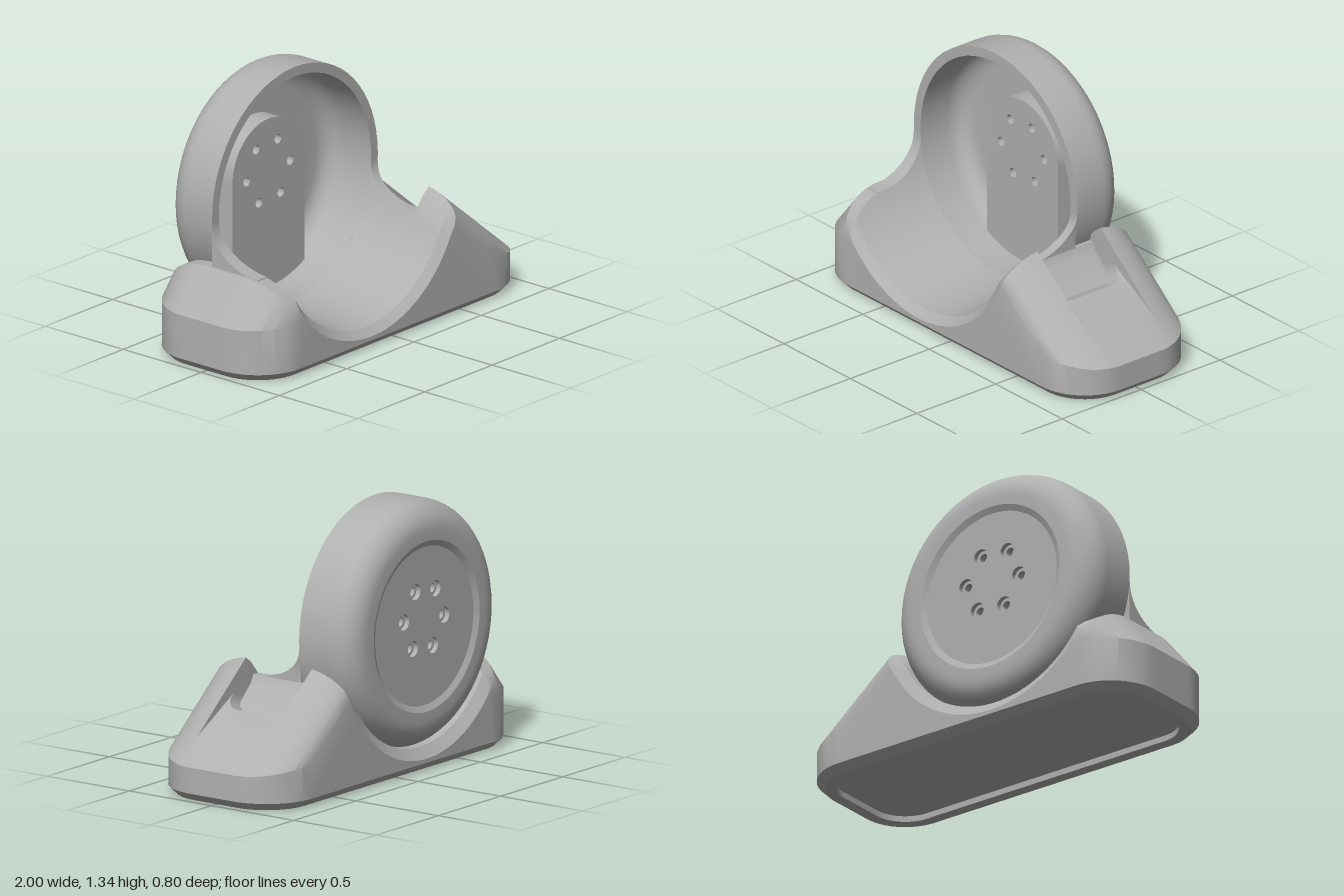
import * as THREE from 'three';
import { toCreasedNormals } from 'three/addons/utils/BufferGeometryUtils.js';

const CX = -0.2, CY = 0.72; // axis of the round cup
const RIM = -0.09; // depth of the cup's front edge
const grey = new THREE.MeshStandardMaterial({ color: 0xb0b0b0, side: THREE.DoubleSide });
grey.name = 'grey plastic';

// Height of a quarter-round of radius r at offset q, zero beyond its end.
const arcHeight = (r, q) => Math.sqrt(Math.max(0, r * r - q * q));

// Skin between matching cross-sections, with optional flat end caps.
function loft(sections, capped) {
  const n = sections[0].length, last = (sections.length - 1) * n, idx = [];
  for (let i = 0; i < sections.length - 1; i++) {
    for (let j = 0; j < n - 1; j++) {
      const a = i * n + j, d = a + n;
      idx.push(a, a + 1, d + 1, a, d + 1, d);
    }
  }
  if (capped) {
    const cap = (s) => THREE.ShapeUtils.triangulateShape(s.map((p) => new THREE.Vector2(p[0], p[1])), []);
    cap(sections[0]).forEach(([a, b, c]) => idx.push(a, c, b));
    cap(sections[sections.length - 1]).forEach(([a, b, c]) => idx.push(last + a, last + b, last + c));
  }
  const g = new THREE.BufferGeometry();
  g.setAttribute('position', new THREE.Float32BufferAttribute(sections.flat(2), 3));
  g.setIndex(idx);
  return toCreasedNormals(g, 0.5);
}

// Radius of the hollow along z.
function hollow(z) {
  const k = [[-0.4, 0.66], [-0.36, 0.605], [-0.11, 0.59], [RIM, 0.565], [0.36, 0.62], [0.4, 0.66]];
  let i = 0;
  while (i < k.length - 2 && z > k[i + 1][0]) i++;
  return THREE.MathUtils.mapLinear(z, k[i][0], k[i + 1][0], k[i][1], k[i + 1][1]);
}

// Where a sloping line through (px, py) meets a circle about the cup axis.
function meet(px, py, m, r, sign) {
  const X = px - CX, Y = py - CY, a = 1 + m * m, b = X + m * Y, c = X * X + Y * Y - r * r;
  const t = (-b + sign * Math.sqrt(Math.max(0, b * b - a * c))) / a;
  return [px + t, py + m * t];
}

// Front outline of the base at depth z, from lower right over the top to lower left.
function baseSection(z, notch) {
  const az = Math.abs(z), R = hollow(z);
  const d = 0.27 - arcHeight(0.27, Math.max(0, az - 0.13)), xw = 1 - d;
  const sR = 0.78 * d, sL = 0.95 * d;
  const slopeR = (x) => 0.61 - 0.815 * (x - 0.46 + sR);
  const tip = meet(0.46 - sR, 0.61, -0.815, 0.668, 1);
  const tipL = meet(-0.83 + sL, 0.47, 1.21, 0.675, -1);
  const polar = (r, a) => [CX + r * Math.cos(a), CY + r * Math.sin(a)];
  const pts = [[xw, 0.04], [xw, slopeR(xw)]];
  let start;
  if (notch) { // channel and pocket in the right lug
    const e = 0.08 - arcHeight(0.08, Math.max(0, az - 0.12));
    pts.push([0.85, slopeR(0.85)], [0.64 - e, 0.39 + 0.7 * e], [0.56 - e, 0.36 + 0.7 * e], [0.42, 0.47], [0.4, 0.51]);
    start = Math.asin(-0.21 / R);
  } else {
    for (const f of [0.278, 0.667, 0.833, 1]) {
      const x = xw + (tip[0] - xw) * f;
      pts.push([x, slopeR(x)]);
    }
    const a = Math.atan2(tip[1] - CY, tip[0] - CX);
    pts.push(polar((0.668 + R) / 2, a - 0.06));
    start = a - 0.18;
  }
  const end = -Math.PI - Math.asin((tipL[1] - CY) / R);
  for (let i = 0; i <= 32; i++) pts.push(polar(R, start + (end - start) * i / 32));
  pts.push(tipL, [-xw, 0.47 + 1.21 * (-xw + 0.83 - sL)], [-xw, 0.04]);
  return pts.map(([x, y]) => [x, y, z]);
}

function roundedRect(w, h, r) {
  const s = new THREE.Shape();
  s.absarc(w - r, h - r, r, 0, Math.PI / 2);
  s.absarc(r - w, h - r, r, Math.PI / 2, Math.PI);
  s.absarc(r - w, r - h, r, Math.PI, Math.PI * 1.5);
  s.absarc(w - r, r - h, r, Math.PI * 1.5, Math.PI * 2);
  s.closePath();
  return s;
}

// Ring of six holes, relative to the cup axis.
function addHoles(shape, r) {
  for (let i = 0; i < 6; i++) {
    const a = 1.12 + i * Math.PI / 3;
    const hole = new THREE.Path();
    hole.absarc(0.162 * Math.cos(a), 0.037 + 0.162 * Math.sin(a), r, 0, Math.PI * 2, true);
    shape.holes.push(hole);
  }
  return shape;
}

export function createModel() {
  const group = new THREE.Group();
  const add = (name, geometry, x = 0, y = 0, z = 0) => {
    const mesh = new THREE.Mesh(geometry, grey);
    mesh.name = name;
    mesh.position.set(x, y, z);
    group.add(mesh);
  };

  // Base with hollow and notched lug
  const outer = [0.2, 0.24, 0.28, 0.32, 0.36, 0.38, 0.393, 0.4];
  const middle = [-0.2, -0.195, -0.18, -0.15, -0.11, RIM, 0, 0.12, 0.15, 0.18, 0.195, 0.2];
  add('base', loft([
    ...outer.map((z) => baseSection(-z, false)).reverse(),
    ...middle.map((z) => baseSection(z, true)),
    ...outer.map((z) => baseSection(z, false)),
  ], true));

  // Chamfered foot, its flat rim and the recessed underside panel
  const foot = [[0, 0.04], [0.04, 0], [0.1, 0], [0.1, 0.03]].map(([inset, y]) =>
    roundedRect(1 - inset, 0.4 - inset, 0.27 - inset).getPoints(10).map((p) => [p.x, y, p.y]));
  add('foot', loft(foot, false));
  add('undersidePanel', new THREE.ShapeGeometry(roundedRect(0.9, 0.3, 0.17)).rotateX(Math.PI / 2), 0, 0.03);

  // Round cup: rounded back edge, rim and inner fillet
  const profile = [[0.385, -0.385], [0.395, -0.385], [0.425, -0.4]];
  for (let i = 0; i <= 8; i++) {
    const a = i / 8 * Math.PI / 2;
    profile.push([0.475 + 0.14 * Math.sin(a), -0.26 - 0.14 * Math.cos(a)]);
  }
  profile.push([0.615, RIM], [0.565, RIM]);
  for (let i = 0; i <= 6; i++) {
    const a = i / 6 * Math.PI / 2;
    profile.push([0.465 + 0.1 * Math.cos(a), -0.26 - 0.1 * Math.sin(a)]);
  }
  profile.push([0.385, -0.36]);
  const cup = new THREE.LatheGeometry(profile.map((p) => new THREE.Vector2(...p)), 64).rotateX(Math.PI / 2);
  add('cup', toCreasedNormals(cup, 0.4), CX, CY);

  // Back disc with wide holes
  const disc = new THREE.Shape();
  disc.absarc(0, 0, 0.386, 0, Math.PI * 2);
  add('backDisc', new THREE.ExtrudeGeometry(addHoles(disc, 0.04), { depth: 0.025, bevelEnabled: false, curveSegments: 32 }), CX, CY, -0.385);

  // Arched pad inside the cup with narrow holes
  const pad = new THREE.Shape(), w = 0.267, a = Math.acos(w / 0.56);
  pad.absarc(0, 0.04, w, 0, Math.PI);
  pad.absarc(0, 0, 0.56, Math.PI + a, Math.PI * 2 - a);
  const padGeometry = new THREE.ExtrudeGeometry(addHoles(pad, 0.024), { depth: 0.1, bevelEnabled: false, curveSegments: 24 });
  add('pad', padGeometry, CX, CY, -0.36);

  // Curved flanks sweeping from the cup rim down to the base
  for (const [name, side, low, reach] of [['leftFlank', 1, 0.505, 0.6], ['rightFlank', -1, 0.47, 0.615]]) {
    const rings = [];
    for (let i = 0; i <= 14; i++) {
      const t = i / 14 * Math.PI / 2;
      const z = 0.2 - (0.2 - RIM) * Math.cos(t), top = low + (0.685 - low) * (1 - Math.sin(t));
      const height = (j) => 0.44 + (top - 0.44) * j / 4;
      const ring = [];
      for (let j = 0; j <= 4; j++) ring.push([CX + side * arcHeight(hollow(z), height(j) - CY), height(j), z]);
      for (let j = 4; j >= 0; j--) ring.push([CX + side * Math.max(reach, arcHeight(0.615, height(j) - CY)), height(j), z]);
      rings.push(side > 0 ? ring.reverse() : ring);
    }
    add(name, loft(rings, true));
  }
  return group;
}
